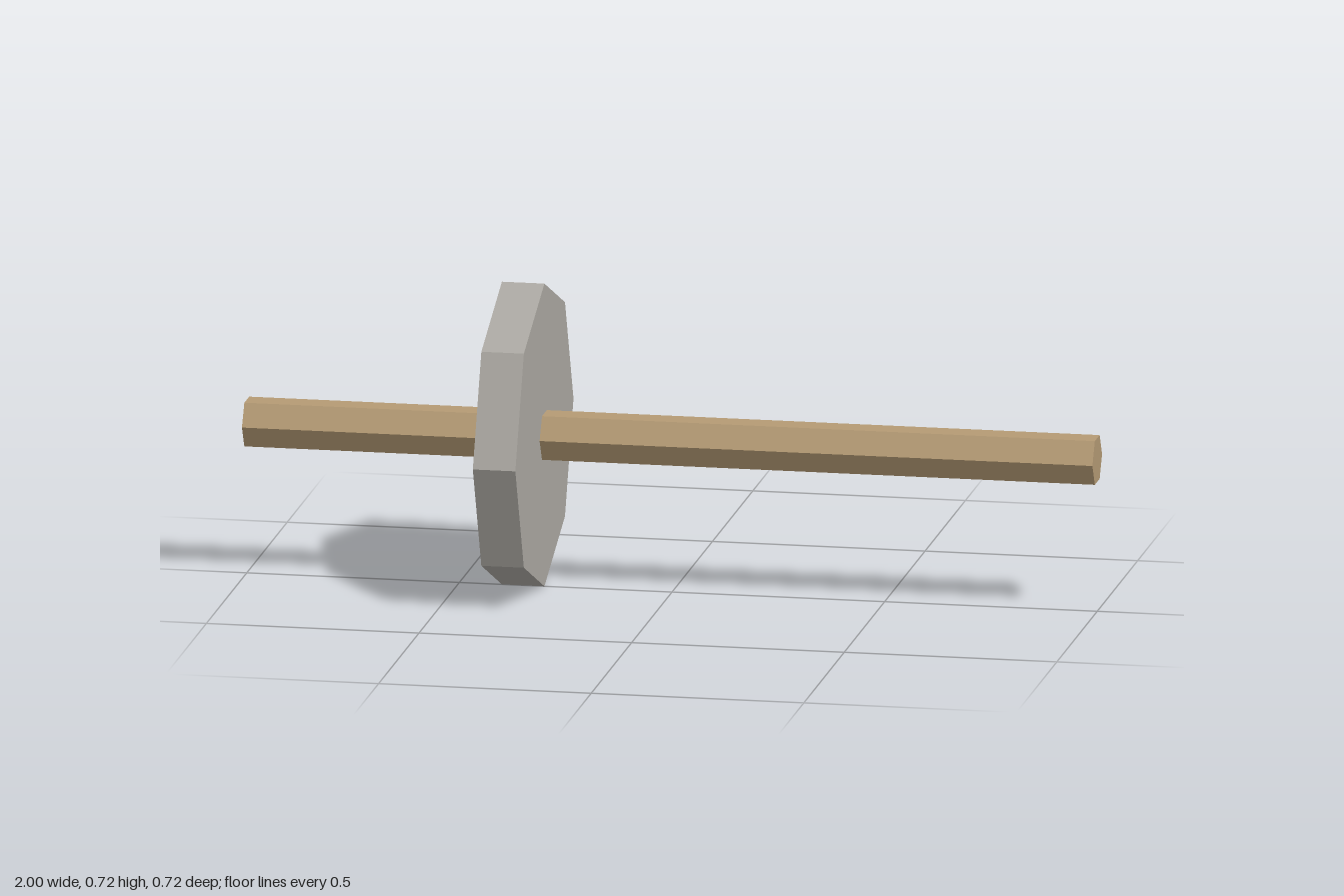
import * as THREE from 'three';

export function createModel() {
  const model = new THREE.Group();
  model.name = 'wheelOnAxle';

  const wood = new THREE.MeshStandardMaterial({ color: 0xb49a74, flatShading: true });
  wood.name = 'tan wood';
  const stone = new THREE.MeshStandardMaterial({ color: 0xaba8a2, flatShading: true });
  stone.name = 'grey stone';

  // A faceted prism lying along x, with corners pointing to +z and -z
  function addPrism(name, radius, length, sides, x, material) {
    const geometry = new THREE.CylinderGeometry(radius, radius, length, sides);
    geometry.rotateZ(Math.PI / 2);
    const mesh = new THREE.Mesh(geometry, material);
    mesh.name = name;
    mesh.position.set(x, 0.36, 0);
    model.add(mesh);
  }

  // Hexagonal rod through the full width
  addPrism('axle', 0.06, 2, 6, 0, wood);
  // Octagonal disc toward one end
  addPrism('disc', 0.36, 0.1, 8, -0.35, stone);

  return model;
}
